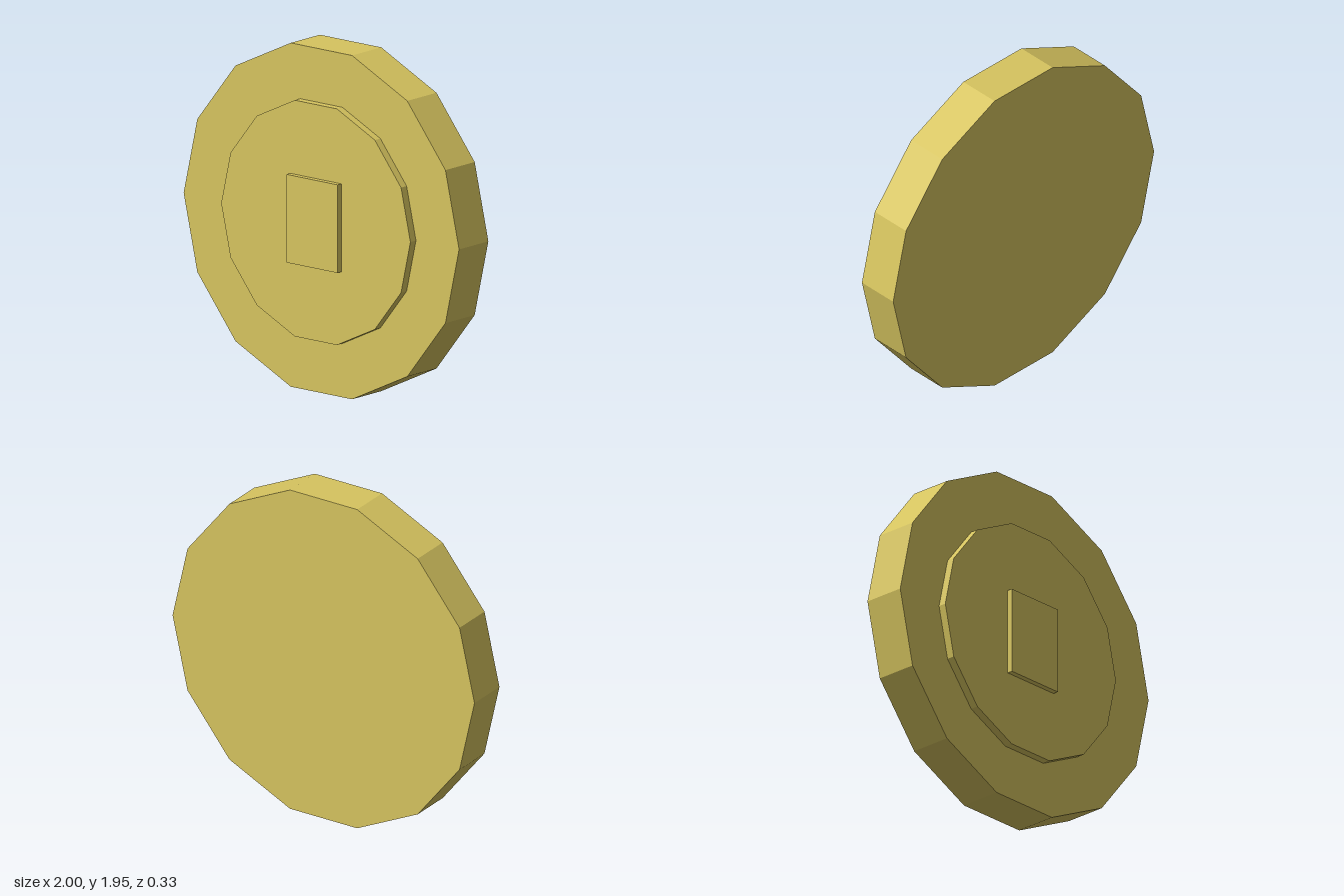
import * as THREE from 'three';

const SIDES = 14;
const CENTER_Y = Math.cos(Math.PI / SIDES); // rests on a flat facet

export function createModel() {
  const coin = new THREE.Group();
  coin.name = 'coin';
  const gold = new THREE.MeshStandardMaterial({ color: 0xd6c45f });
  gold.name = 'gold';

  function add(name, geometry, back, front) {
    const mesh = new THREE.Mesh(geometry, gold);
    mesh.name = name;
    mesh.position.set(0, CENTER_Y, (back + front) / 2);
    coin.add(mesh);
  }

  // Faceted disc facing +z, with corners on the left and right
  function disc(name, radius, back, front) {
    const geometry = new THREE.CylinderGeometry(
      radius, radius, front - back, SIDES, 1, false, Math.PI / SIDES
    ).rotateX(Math.PI / 2).toNonIndexed();
    geometry.computeVertexNormals(); // flat facets
    add(name, geometry, back, front);
  }

  disc('coinBody', 1, -0.163, 0.084);
  disc('raisedDisc', 0.687, 0.084, 0.131);

  // Rectangular emblem on the front
  add('centerPlate', new THREE.BoxGeometry(0.37, 0.5, 0.032), 0.131, 0.163);

  return coin;
}
